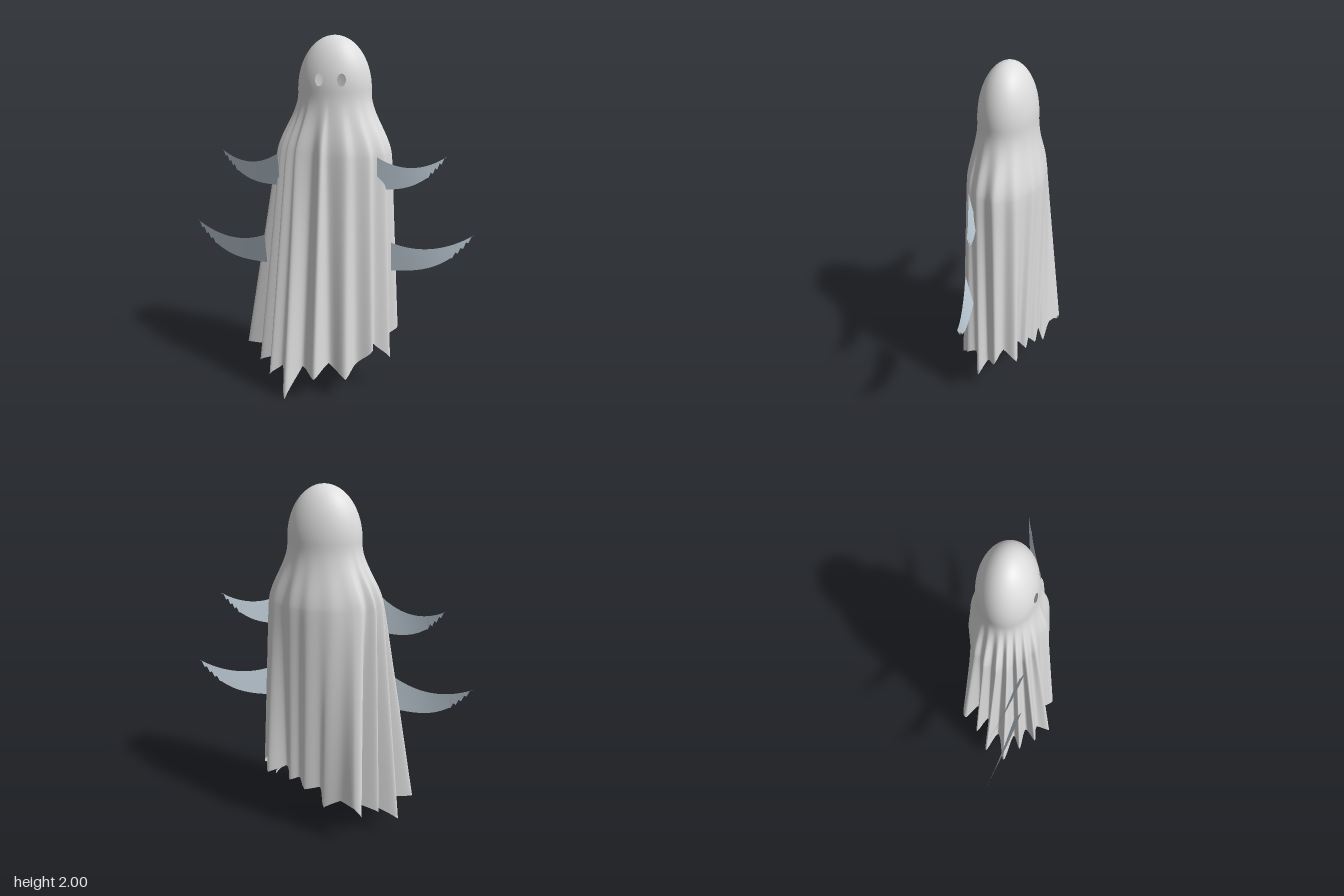
import * as THREE from 'three';

const sheetMat = new THREE.MeshStandardMaterial({ color: 0xdedede, side: THREE.DoubleSide });
sheetMat.name = 'sheetWhite';
const armMat = new THREE.MeshStandardMaterial({ color: 0xc2d0da, side: THREE.DoubleSide });
armMat.name = 'paleBlueGrey';

const lerp = THREE.MathUtils.lerp;
const CX = 0.02, CZ = -0.027;            // head axis
const HEAD_Y = 1.72, SHOULDER_Y = 1.38;

// Hem folds, from the front round past the left: angle at the shoulder, then x, z, y at the hem
const hem = [
  [0, 0.03, 0.2, 0.21], [17, 0.13, 0.23, 0.13], [29, 0.18, 0.16, 0.2],
  [43, 0.27, 0.15, 0.28], [52, 0.27, 0.09, 0.3], [66, 0.36, 0.05, 0.2],
  [80, 0.32, 0, 0.3], [95, 0.39, -0.06, 0.35], [110, 0.34, -0.1, 0.43],
  [125, 0.33, -0.175, 0.35], [140, 0.22, -0.15, 0.4], [152, 0.19, -0.19, 0.33],
  [163, 0.13, -0.19, 0.36], [173, 0.09, -0.22, 0.3], [185, 0, -0.215, 0.33],
  [197, -0.03, -0.24, 0.21], [210, -0.13, -0.25, 0.28], [221, -0.22, -0.29, 0.27],
  [230, -0.26, -0.27, 0.2], [239, -0.18, -0.19, 0.25], [248, -0.34, -0.185, 0.2],
  [258, -0.25, -0.12, 0.22], [267, -0.44, -0.11, 0.12], [275, -0.34, -0.04, 0.21],
  [282, -0.5, 0.02, 0.21], [290, -0.34, 0.06, 0.22], [296, -0.4, 0.11, 0.14],
  [304, -0.28, 0.13, 0.2], [310, -0.32, 0.2, 0.1], [319, -0.24, 0.2, 0.17],
  [326, -0.21, 0.285, 0], [341, -0.12, 0.21, 0.18], [353, -0.04, 0.28, 0.14],
];

const eyes = [-0.038, 0.08].map(x => ({ x, y: 1.78, rx: 0.022, ry: 0.032 }));

function closedCurve(points) {
  return new THREE.CatmullRomCurve3(points, true, 'catmullrom', 0.5);
}

function ellipsePoint(deg, rx, rz) {
  const a = THREE.MathUtils.degToRad(deg);
  return new THREE.Vector3(CX + rx * Math.sin(a), 0, CZ + rz * Math.cos(a));
}

// Draped sheet: domed head, shoulder slope, then folds falling to a ragged hem
function makeSheet() {
  const count = hem.length, per = 10, cols = count * per;
  const radius = h => Math.hypot(h[1] - CX, (h[2] - CZ) * 1.4);
  const hemCurve = closedCurve(hem.map(h => new THREE.Vector3(h[1], 0, h[2])));
  const shoulderCurve = closedCurve(hem.map((h, i) => {
    const around = (radius(hem[(i + 1) % count]) + radius(hem[(i + count - 1) % count])) / 2;
    const fold = 1 + THREE.MathUtils.clamp((radius(h) - around) * 0.6, -0.06, 0.06);
    return ellipsePoint(h[0], 0.305 * fold, 0.2 * fold);
  }));

  const domeRows = 40, neckRows = 14, drapeRows = 18;
  const rows = domeRows + neckRows + drapeRows;
  const pos = [], inEye = [], index = [];

  for (let r = 0; r <= rows; r++) {
    for (let c = 0; c < cols; c++) {
      const i = Math.floor(c / per), f = (c % per) / per;
      const here = hem[i], next = hem[(i + 1) % count];
      const deg = lerp(here[0], next[0] || 360, f);
      const shoulder = shoulderCurve.getPoint(c / cols);
      let p, hole = false;
      if (r <= domeRows) {
        const phi = (r / domeRows) * Math.PI / 2;
        p = ellipsePoint(deg, 0.198 * Math.sin(phi), 0.15 * Math.sin(phi));
        p.y = HEAD_Y + 0.28 * Math.cos(phi);
        // Eye openings: push the enclosed points out to the rim
        for (const e of eyes) {
          const d = Math.hypot((p.x - e.x) / e.rx, (p.y - e.y) / e.ry);
          if (p.z > 0 && d < 1 && d > 0) {
            hole = true;
            p.x = e.x + (p.x - e.x) / d;
            p.y = e.y + (p.y - e.y) / d;
            const k = 1 - ((p.y - HEAD_Y) / 0.28) ** 2 - ((p.x - CX) / 0.198) ** 2;
            p.z = CZ + 0.15 * Math.sqrt(k);
          }
        }
      } else if (r <= domeRows + neckRows) {
        const t = (r - domeRows) / neckRows;
        p = ellipsePoint(deg, 0.198, 0.15).lerp(shoulder, THREE.MathUtils.smoothstep(t, 0.05, 1.08));
        p.y = lerp(HEAD_Y, SHOULDER_Y, t);
      } else {
        const t = (r - domeRows - neckRows) / drapeRows;
        p = shoulder.lerp(hemCurve.getPoint(c / cols), t);
        p.y = lerp(SHOULDER_Y, lerp(here[3], next[3], f), t);
      }
      pos.push(p.x, p.y, p.z);
      inEye.push(hole);
    }
  }
  for (let r = 0; r < rows; r++) {
    for (let c = 0; c < cols; c++) {
      const n = (c + 1) % cols;
      const a = r * cols + c, b = a + cols, d = r * cols + n, e = d + cols;
      if (inEye[a] && inEye[b] && inEye[d] && inEye[e]) continue;
      if (r > 0) index.push(a, e, d);
      index.push(a, b, e);
    }
  }
  const geo = new THREE.BufferGeometry();
  geo.setAttribute('position', new THREE.Float32BufferAttribute(pos, 3));
  geo.setIndex(index);
  geo.computeVertexNormals();
  const mesh = new THREE.Mesh(geo, sheetMat);
  mesh.name = 'drapedSheet';
  return mesh;
}

// Thin curved arm, tapering upward to a frayed tip
function makeArm(name, side, { rootX, tipX, top, dip, bottom, tip }) {
  const n = 32, across = 4, pos = [], index = [];
  for (let i = 0; i <= n; i++) {
    const s = i / n;
    const fray = s > 0.72 && i < n ? (i % 2 ? 0.014 : -0.006) : 0;
    const yTop = (1 - s) ** 2 * top + 2 * s * (1 - s) * dip + s * s * tip;
    const yLow = Math.min(yTop - 0.002, bottom + (tip - bottom) * s ** 3.2 + fray);
    for (let j = 0; j <= across; j++) {
      const v = j / across;
      const z = lerp(lerp(0.105, -0.015, s), lerp(0.065, -0.015, s), v);
      pos.push(side * lerp(rootX, tipX, s), lerp(yTop, yLow, v), z);
    }
  }
  for (let i = 0; i < n; i++) {
    for (let j = 0; j < across; j++) {
      const a = i * (across + 1) + j, b = a + 1, c = a + across + 1, d = c + 1;
      if (side > 0) index.push(a, b, d, a, d, c);
      else index.push(a, d, b, a, c, d);
    }
  }
  const geo = new THREE.BufferGeometry();
  geo.setAttribute('position', new THREE.Float32BufferAttribute(pos, 3));
  geo.setIndex(index);
  geo.computeVertexNormals();
  const mesh = new THREE.Mesh(geo, armMat);
  mesh.name = name;
  return mesh;
}

export function createModel() {
  const model = new THREE.Group();
  model.name = 'ghost';
  model.add(makeSheet());
  const upper = { rootX: 0.27, tipX: 0.625, top: 1.385, dip: 1.265, bottom: 1.2, tip: 1.375 };
  const lower = { rootX: 0.355, tipX: 0.795, top: 0.92, dip: 0.82, bottom: 0.742, tip: 0.95 };
  for (const [label, side] of [['left', 1], ['right', -1]]) {
    model.add(makeArm(label + 'UpperArm', side, upper));
    model.add(makeArm(label + 'LowerArm', side, lower));
  }
  return model;
}
